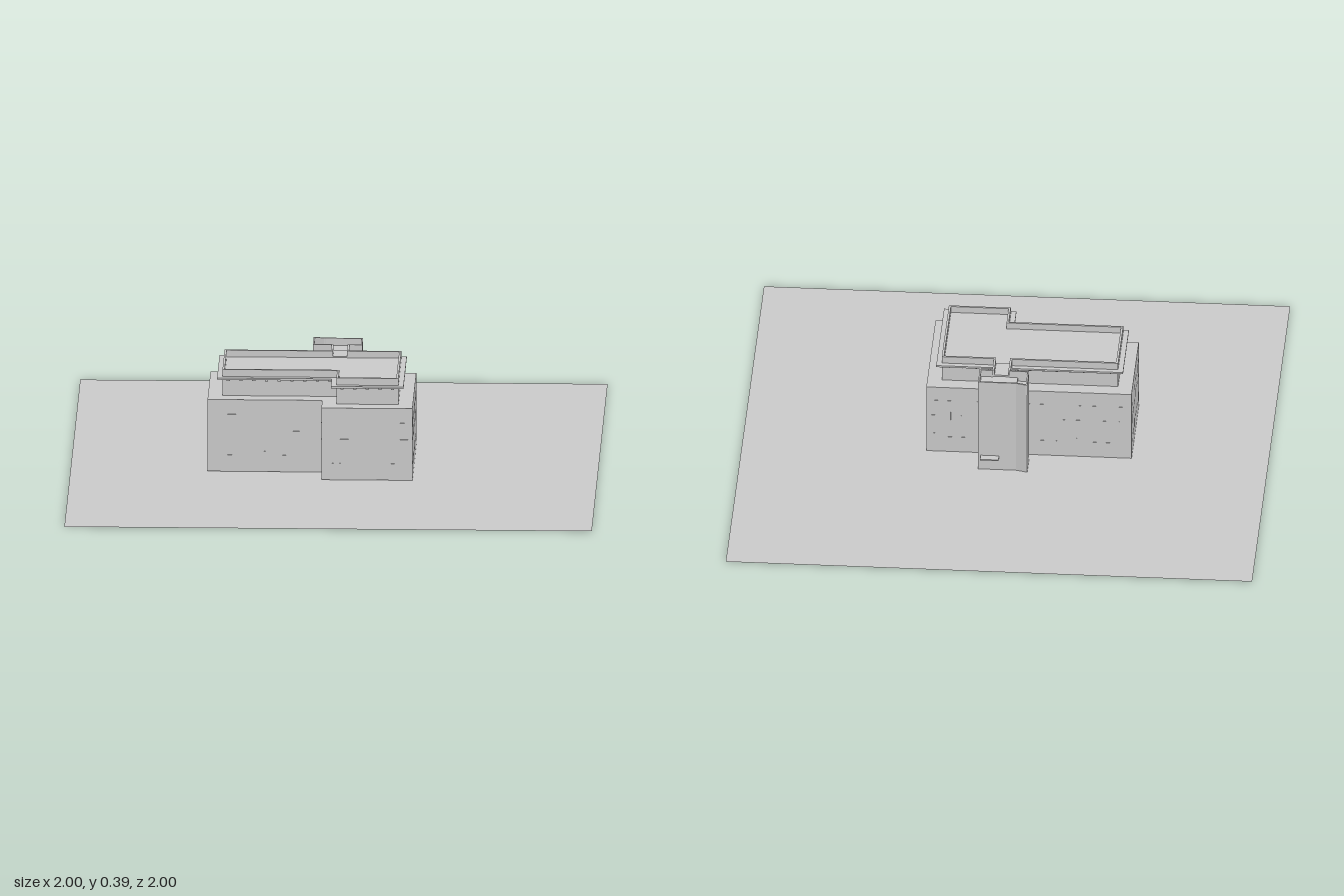
import * as THREE from 'three';

const material = new THREE.MeshStandardMaterial({ color: 0xcccccc, flatShading: true, side: THREE.DoubleSide });

export function createModel() {
  const model = new THREE.Group();

  function add(parent, name, geometry) {
    const mesh = new THREE.Mesh(geometry, material);
    mesh.name = name;
    parent.add(mesh);
    return mesh;
  }

  function group(name) {
    const g = new THREE.Group();
    g.name = name;
    model.add(g);
    return g;
  }

  // Box given by its limits on each axis
  function block(parent, name, x0, x1, y0, y1, z0, z1) {
    add(parent, name, new THREE.BoxGeometry(x1 - x0, y1 - y0, z1 - z0))
      .position.set((x0 + x1) / 2, (y0 + y1) / 2, (z0 + z1) / 2);
  }

  // Upright prism over a plan of [x, z] corners
  function prism(parent, name, plan, y0, y1) {
    const shape = new THREE.Shape(plan.map(([x, z]) => new THREE.Vector2(x, -z)));
    const geometry = new THREE.ExtrudeGeometry(shape, { depth: y1 - y0, bevelEnabled: false });
    geometry.rotateX(-Math.PI / 2).translate(0, y0, 0);
    add(parent, name, geometry);
  }

  // Thin wall following a path of [x, z] points
  function wallRun(parent, name, path, thickness, y0, y1) {
    for (let i = 0; i + 1 < path.length; i++) {
      const [ax, az] = path[i], [bx, bz] = path[i + 1];
      const length = Math.hypot(bx - ax, bz - az);
      const wall = add(parent, name, new THREE.BoxGeometry(length + thickness, y1 - y0, thickness));
      wall.position.set((ax + bx) / 2, (y0 + y1) / 2, (az + bz) / 2);
      wall.rotation.y = -Math.atan2(bz - az, bx - ax);
    }
  }

  // L-shaped building plan, inset by d on all sides
  const plan = d => [
    [0.3 - d, -0.145 + d], [0.3 - d, 0.338 - d], [-0.045 + d, 0.338 - d],
    [-0.045 + d, 0.235 - d], [-0.48 + d, 0.235 - d], [-0.48 + d, -0.145 + d],
  ];

  // Ground
  add(model, 'ground', new THREE.PlaneGeometry(2, 2).rotateX(-Math.PI / 2));

  // Main block, recessed top floor, eave
  const building = group('building');
  prism(building, 'mainBlock', plan(0), 0.002, 0.285);
  prism(building, 'topFloor', plan(0.055), 0.285, 0.362);
  prism(building, 'eave', plan(0.035), 0.353, 0.36);

  // Facade window strips and eave blocks along each side of the plan
  function alongSides(inset, step, place) {
    const corners = plan(inset);
    corners.forEach(([ax, az], i) => {
      const [bx, bz] = corners[(i + 1) % corners.length];
      const length = Math.hypot(bx - ax, bz - az);
      const count = Math.round(length / step);
      for (let k = 0; k < count; k++) {
        const t = (k + 0.5) / count;
        place(ax + (bx - ax) * t, az + (bz - az) * t, -Math.atan2(bz - az, bx - ax), k);
      }
    });
  }

  const facade = group('windowStrips');
  alongSides(0, 0.06, (x, z, angle, k) => {
    [0.065, 0.16, 0.225].forEach((y, row) => {
      const upright = (k + row) % 3 === 0;
      const size = upright ? [0.006, 0.035] : [0.035, 0.005];
      const strip = add(facade, 'windowStrip', new THREE.BoxGeometry(size[0], size[1], 0.002));
      strip.position.set(x, y, z);
      strip.rotation.y = angle;
    });
  });

  const supports = group('eaveSupports');
  alongSides(0.053, 0.05, (x, z, angle) => {
    const bracket = add(supports, 'eaveBracket', new THREE.BoxGeometry(0.012, 0.008, 0.012));
    bracket.position.set(x, 0.349, z);
    bracket.rotation.y = angle;
  });

  // Roof parapet, open at the bridge and continuing as its side walls
  const roof = group('roof');
  const edge = plan(0.059);
  wallRun(roof, 'parapet', [
    [0.043, -0.167], [0.043, edge[0][1]], ...edge, [-0.018, edge[5][1]], [-0.018, -0.167],
  ], 0.008, 0.36, 0.388);
  block(roof, 'bridgeDeck', -0.022, 0.047, 0.358, 0.366, -0.172, -0.085);

  // Stair tower with a slightly splayed west bay
  const tower = group('stairTower');
  prism(tower, 'towerShaft', [[0.095, -0.17], [0.095, -0.263], [-0.05, -0.263], [-0.05, -0.17]], 0.002, 0.36);
  prism(tower, 'westBay', [[-0.05, -0.17], [-0.05, -0.263], [-0.093, -0.274], [-0.093, -0.17]], 0.002, 0.345);
  wallRun(tower, 'towerParapet', [
    [-0.022, -0.173], [-0.09, -0.173], [-0.09, -0.27], [-0.05, -0.26], [0.092, -0.26], [0.092, -0.173], [0.047, -0.173],
  ], 0.006, 0.345, 0.388);

  // Ground-level link to the building and canopy over the rear door
  block(tower, 'entranceLink', 0.05, 0.095, 0.002, 0.075, -0.172, -0.143);
  block(tower, 'rearCanopy', 0.015, 0.085, 0.058, 0.063, -0.293, -0.262);

  return model;
}
